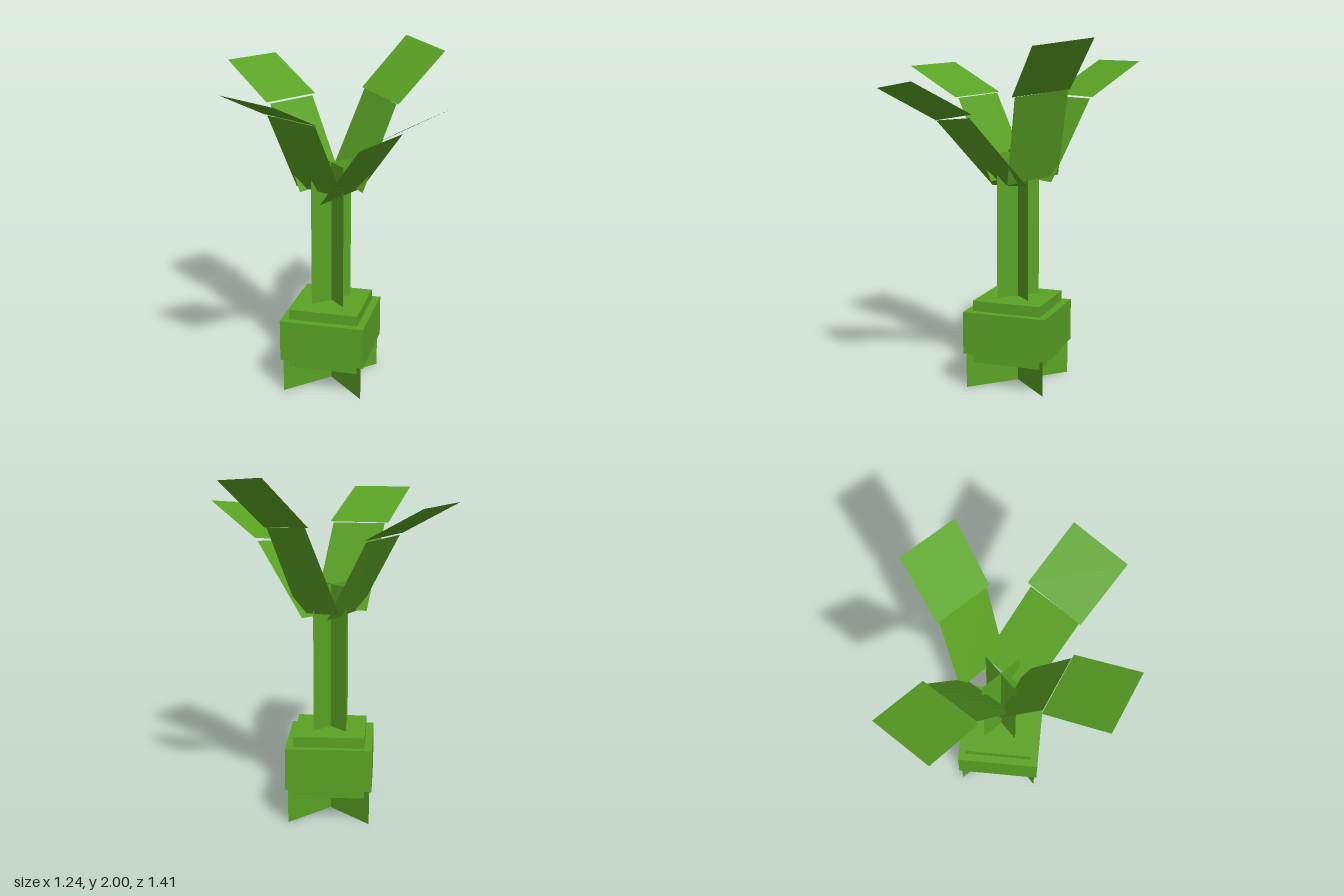
import * as THREE from 'three';

const green = new THREE.MeshStandardMaterial({ color: 0x5aa324, side: THREE.DoubleSide, flatShading: true });
green.name = 'leaf green';

// Shared vertical axis and twist of the base and stem
const AXIS_X = -0.018, AXIS_Z = -0.03, TWIST = THREE.MathUtils.degToRad(-14.7);

function add(parent, name, geometry) {
  const mesh = new THREE.Mesh(geometry, green);
  mesh.name = name;
  parent.add(mesh);
  return mesh;
}

// Square block between two heights
function block(parent, name, side, y0, y1) {
  const mesh = add(parent, name, new THREE.BoxGeometry(side, y1 - y0, side));
  mesh.position.y = (y0 + y1) / 2;
}

// Two upright sheets crossing along the block diagonals
function crossedSheets(parent, name, width, y0, y1) {
  const group = new THREE.Group();
  group.name = name;
  for (const turn of [-Math.PI / 4, Math.PI / 4]) {
    const sheet = add(group, name + 'Sheet', new THREE.PlaneGeometry(width, y1 - y0));
    sheet.position.y = (y0 + y1) / 2;
    sheet.rotation.y = turn;
  }
  parent.add(group);
}

// Flat four-cornered sheet: inner edge a-b, outer edge d-c
function sheet(a, b, c, d) {
  const geometry = new THREE.BufferGeometry();
  geometry.setAttribute('position', new THREE.Float32BufferAttribute([...a, ...b, ...c, ...a, ...c, ...d], 3));
  geometry.computeVertexNormals();
  return geometry;
}

// Each leaf: corners of the steep lower sheet and of the wider, flatter tip
const LEAVES = {
  backRightLeaf: {
    lower: [[-0.195, 1.19, 0.009], [0.044, 1.19, -0.223], [-0.125, 1.65, -0.43], [-0.365, 1.65, -0.21]],
    tip: [[-0.385, 1.66, -0.20], [-0.11, 1.66, -0.445], [-0.35, 1.855, -0.71], [-0.62, 1.855, -0.47]],
  },
  frontRightLeaf: {
    lower: [[0.045, 1.19, 0.119], [-0.215, 1.2, -0.076], [-0.365, 1.665, 0.13], [-0.105, 1.65, 0.325]],
    tip: [[-0.09, 1.655, 0.34], [-0.385, 1.67, 0.12], [-0.595, 1.84, 0.42], [-0.305, 1.825, 0.64]],
  },
  backLeftLeaf: {
    lower: [[-0.019, 1.225, -0.257], [0.159, 1.185, 0.015], [0.345, 1.685, -0.045], [0.18, 1.72, -0.32]],
    tip: [[0.165, 1.72, -0.33], [0.355, 1.685, -0.03], [0.62, 1.96, -0.16], [0.425, 2.0, -0.465]],
  },
  frontLeftLeaf: {
    lower: [[0.16, 1.18, -0.095], [-0.083, 1.15, 0.125], [0.125, 1.54, 0.415], [0.365, 1.575, 0.195]],
    tip: [[0.38, 1.595, 0.18], [0.115, 1.54, 0.42], [0.335, 1.73, 0.70], [0.60, 1.78, 0.46]],
  },
};

export function createModel() {
  const model = new THREE.Group();
  model.name = 'blockPlant';

  // Twisted core: roots, bulb and stem
  const core = new THREE.Group();
  core.name = 'core';
  core.position.set(AXIS_X, 0, AXIS_Z);
  core.rotation.y = TWIST;
  model.add(core);

  crossedSheets(core, 'roots', 0.654, 0, 0.205);
  block(core, 'bulbInner', 0.404, 0.145, 0.51);
  block(core, 'bulbOuter', 0.491, 0.205, 0.45);
  crossedSheets(core, 'stem', 0.266, 0.51, 1.355);

  // Four spreading leaves
  for (const [name, { lower, tip }] of Object.entries(LEAVES)) {
    const leaf = new THREE.Group();
    leaf.name = name;
    add(leaf, 'leafLower', sheet(...lower));
    add(leaf, 'leafTip', sheet(...tip));
    model.add(leaf);
  }
  return model;
}
